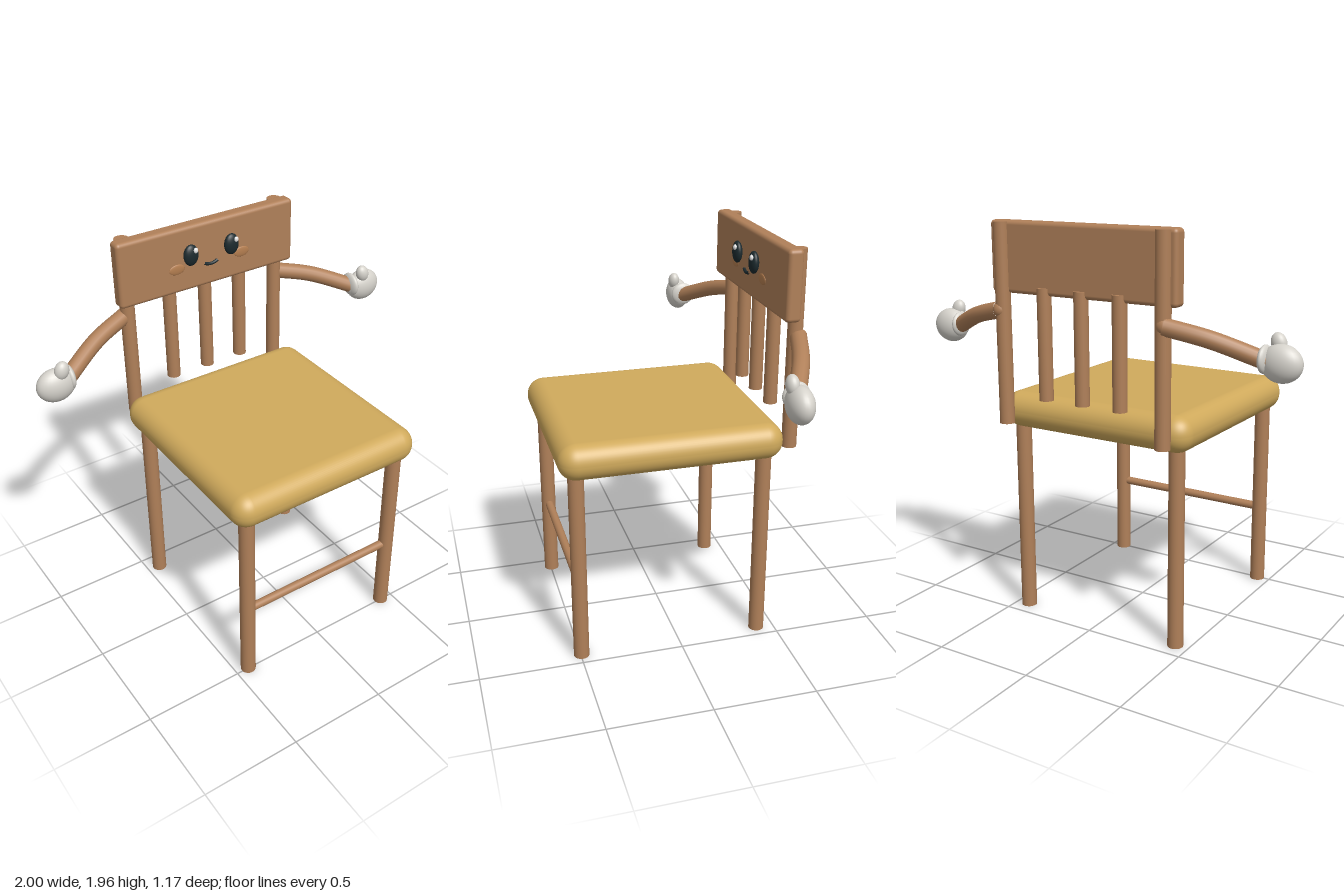
import * as THREE from 'three';
import { RoundedBoxGeometry } from 'three/addons/geometries/RoundedBoxGeometry.js';

export function createModel() {
  const model = new THREE.Group();
  model.name = 'chair';
  const material = (name, color) => {
    const m = new THREE.MeshStandardMaterial({ color });
    m.name = name;
    return m;
  };
  const wood = material('wood', 0xb08059);
  const cushion = material('cushion', 0xd0aa5c);
  const glove = material('glove', 0xd6d3cc);
  const dark = material('dark', 0x1c2a2e);
  const white = material('white', 0xf4f4f4);
  const blush = material('blush', 0xb47e50);

  const add = (name, geometry, mat, x = 0, y = 0, z = 0) => {
    const mesh = new THREE.Mesh(geometry, mat);
    mesh.name = name;
    mesh.position.set(x, y, z);
    model.add(mesh);
    return mesh;
  };
  const post = (name, r, y0, y1, x, z) =>
    add(name, new THREE.CylinderGeometry(r, r, y1 - y0, 24), wood, x, (y0 + y1) / 2, z);
  const ellipsoid = (name, mat, x, y, z, rx, ry, rz) => {
    const mesh = add(name, new THREE.SphereGeometry(1, 28, 18), mat, x, y, z);
    mesh.scale.set(rx, ry, rz);
    return mesh;
  };

  // Seat and headboard
  add('seat', new RoundedBoxGeometry(1.036, 0.176, 1.076, 6, 0.085), cushion, 0, 1.044, 0.039);
  add('headboard', new RoundedBoxGeometry(0.99, 0.332, 0.074, 4, 0.02), wood, 0, 1.79, -0.503);

  // Legs, back posts, spindles and front rung
  for (const s of [-1, 1]) {
    post('frontLeg', 0.038, 0, 1, s * 0.432, 0.495);
    post('backLeg', 0.038, 0, 1, s * 0.432, -0.412);
    post('backPost', 0.036, 1, 1.95, s * 0.43, -0.539);
  }
  for (const x of [-0.203, 0, 0.203]) post('spindle', 0.034, 1.137, 1.66, x, -0.526);
  post('rung', 0.021, -0.41, 0.41, 0, 0.495).rotation.z = Math.PI / 2;
  model.children[model.children.length - 1].position.y = 0.412;

  // Face
  for (const s of [-1, 1]) {
    ellipsoid('eye', dark, s * 0.115, 1.817, -0.447, 0.04, 0.054, 0.023);
    ellipsoid('eyeHighlight', white, s * 0.115 + 0.017, 1.844, -0.428, 0.012, 0.014, 0.009);
    ellipsoid('cheek', blush, s * 0.185, 1.752, -0.465, 0.043, 0.026, 0.006);
  }
  const smile = new THREE.QuadraticBezierCurve3(
    new THREE.Vector3(-0.038, 1.75, -0.457),
    new THREE.Vector3(0, 1.731, -0.453),
    new THREE.Vector3(0.038, 1.75, -0.457));
  add('mouth', new THREE.TubeGeometry(smile, 16, 0.008, 8), dark);

  // Arms and gloved hands
  for (const s of [-1, 1]) {
    const path = new THREE.CatmullRomCurve3([
      new THREE.Vector3(s * 0.44, 1.546, -0.552),
      new THREE.Vector3(s * 0.63, 1.498, -0.487),
      new THREE.Vector3(s * 0.84, 1.412, -0.385)]);
    add('arm', new THREE.TubeGeometry(path, 24, 0.04, 16), wood);
    ellipsoid('shoulder', wood, s * 0.44, 1.546, -0.545, 0.038, 0.04, 0.038);
    ellipsoid('cuff', glove, s * 0.832, 1.42, -0.385, 0.024, 0.062, 0.063);
    ellipsoid('hand', glove, s * 0.904, 1.406, -0.373, 0.096, 0.084, 0.059);
    ellipsoid('thumb', glove, s * 0.878, 1.487, -0.346, 0.035, 0.046, 0.03).rotation.z = s * 0.3;
  }
  return model;
}
